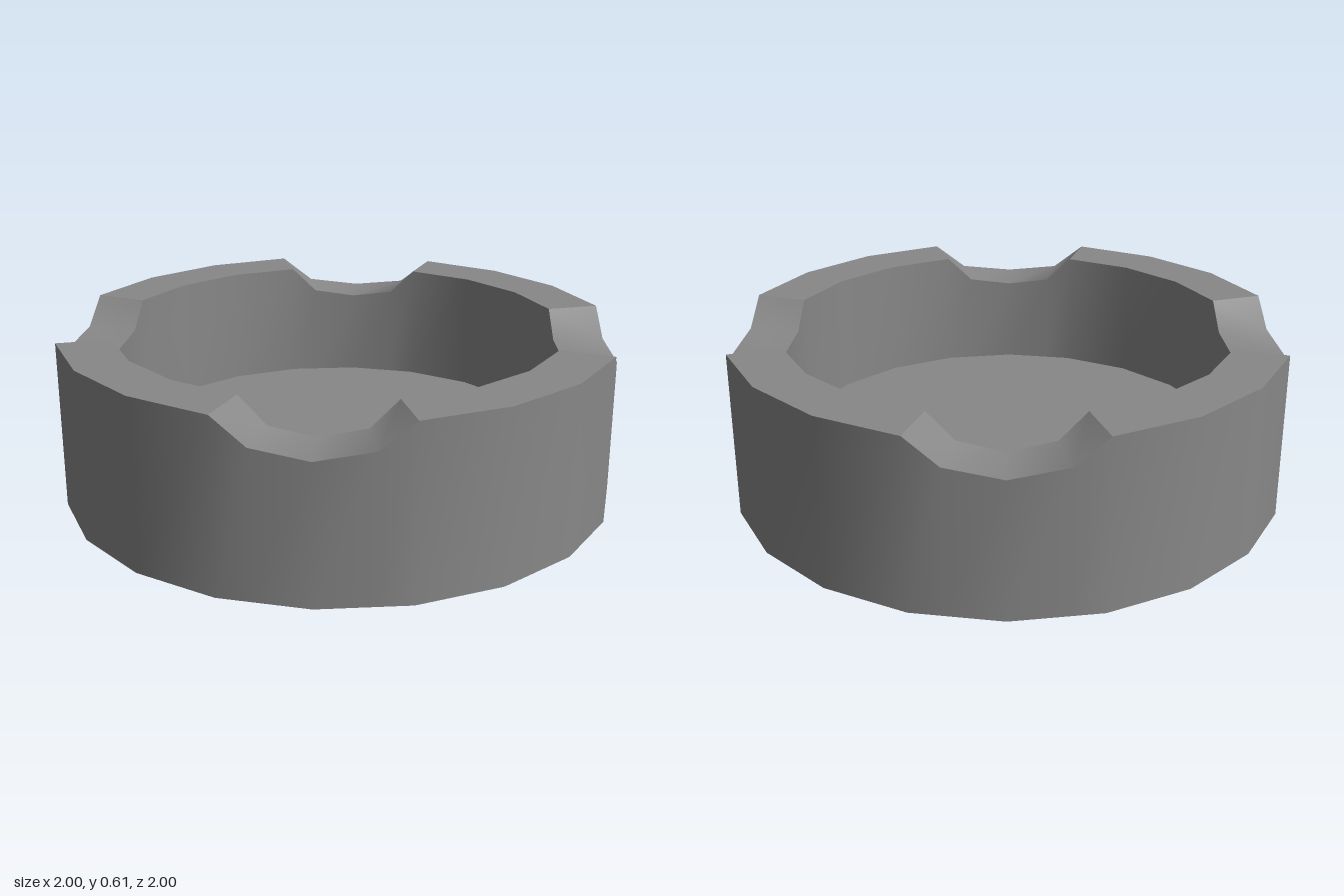
import * as THREE from 'three';
import { toCreasedNormals } from 'three/addons/utils/BufferGeometryUtils.js';

const SIDES = 20, HEIGHT = 0.605, INNER = 0.81, FLOOR = 0.165;

// Point on the 20-sided outline; fractional steps lie on the straight sides.
function outline(step) {
  const corner = (k) => new THREE.Vector2(1, 0).rotateAround(new THREE.Vector2(), (k * 2 * Math.PI) / SIDES);
  const k = Math.floor(step);
  return corner(k).lerp(corner(k + 1), step - k);
}

// Stations around the rim: [step, rim height]. Each quarter holds one notch.
function rimStations() {
  const quarter = [
    [0, HEIGHT], [1, HEIGHT], [2, HEIGHT],
    [2.37, 0.512], [3, 0.486], [3.63, 0.512], [4, HEIGHT],
  ];
  const stations = [];
  for (let q = 0; q < 4; q++) {
    for (const [step, y] of quarter) stations.push([step + q * 5, y]);
  }
  return stations;
}

// Cross-section swept round: base, outer wall, rim, inner wall, dish floor.
function bowlGeometry() {
  const rings = rimStations().map(([step, top]) => {
    const p = outline(step);
    const section = [[0, 0], [1, 0], [1, top], [INNER, top], [INNER, FLOOR], [0, FLOOR]];
    return section.map(([r, y]) => [p.x * r, y, -p.y * r]);
  });
  const positions = [];
  rings.forEach((a, i) => {
    const b = rings[(i + 1) % rings.length];
    const last = a.length - 2;
    for (let j = 0; j <= last; j++) {
      if (j > 0) positions.push(...a[j], ...b[j], ...b[j + 1]);
      if (j < last) positions.push(...a[j], ...b[j + 1], ...a[j + 1]);
    }
  });
  const geometry = new THREE.BufferGeometry();
  geometry.setAttribute('position', new THREE.Float32BufferAttribute(positions, 3));
  // Keeps the notch floors smooth and the notch ends sharp.
  return toCreasedNormals(geometry, THREE.MathUtils.degToRad(38));
}

export function createModel() {
  const group = new THREE.Group();
  group.name = 'ashtray';
  const bowl = new THREE.Mesh(bowlGeometry(), new THREE.MeshStandardMaterial({ color: 0x888888 }));
  bowl.name = 'notchedBowl';
  group.add(bowl);
  return group;
}
